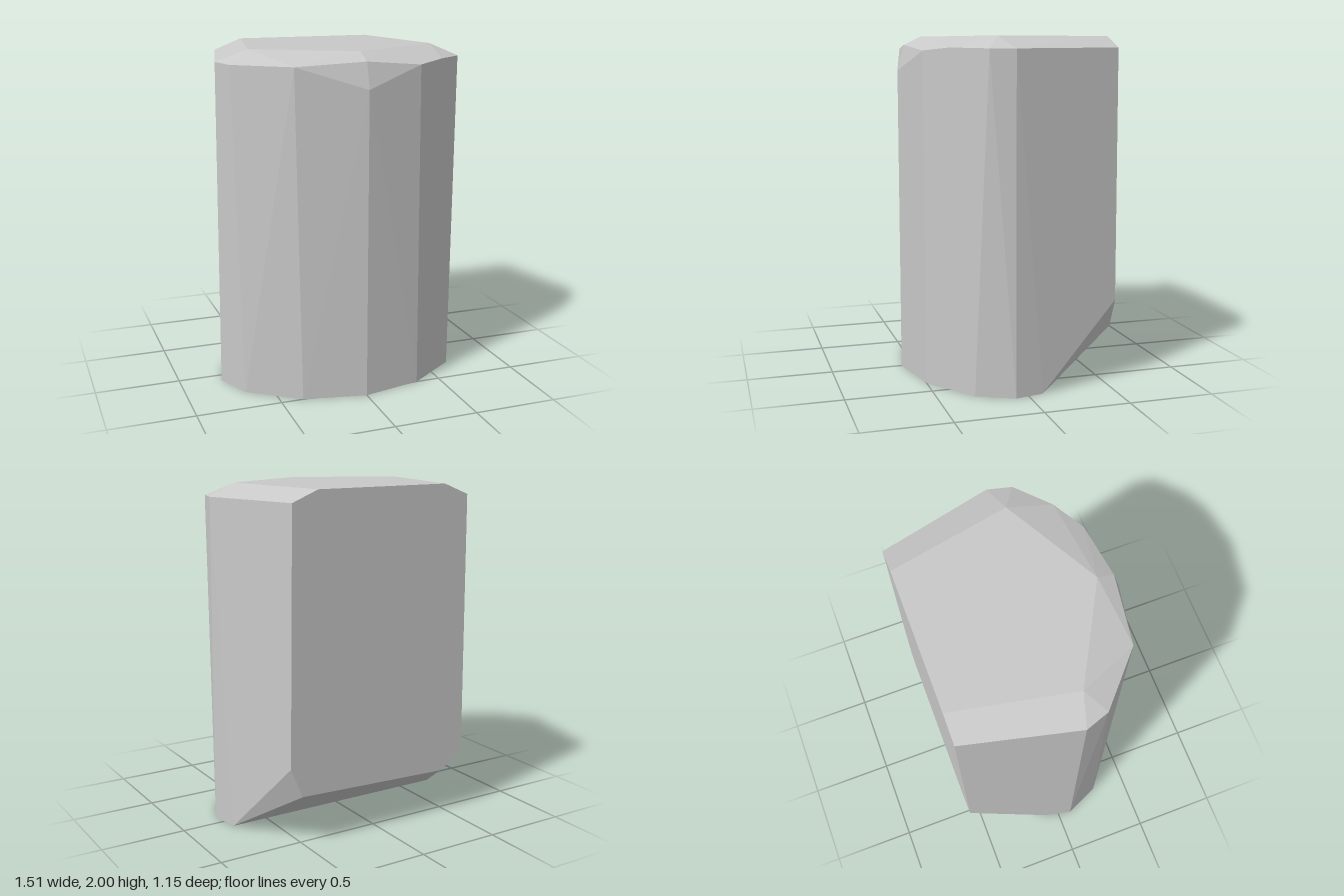
import * as THREE from 'three';
import { ConvexGeometry } from 'three/addons/geometries/ConvexGeometry.js';

export function createModel() {
  const model = new THREE.Group();
  model.name = 'facetedBlock';

  const stone = new THREE.MeshStandardMaterial({ color: 0xc8c8c8 });
  stone.name = 'light grey';

  // Flat base outline, from the back right round the front
  const base = [
    [-0.715, 0, -0.09], [-0.755, 0, 0.08], [-0.66, 0, 0.29], [-0.37, 0, 0.5],
    [0, 0, 0.575], [0.355, 0, 0.5], [0.655, 0, 0.29], [0.755, 0, 0.08], [0.72, 0, -0.09],
  ];

  // Shoulder where the walls meet the bevelled top
  const shoulder = [
    [-0.585, 1.935, -0.575], [-0.74, 1.93, 0.08], [-0.69, 1.925, 0.22], [-0.4, 1.928, 0.48],
    [0, 1.95, 0.535], [0, 1.8, 0.575], [0.34, 1.918, 0.5], [0.52, 1.935, 0.39],
    [0.705, 1.93, 0.22], [0.74, 1.93, 0.08], [0.58, 1.935, -0.575],
  ];

  // Flat top
  const top = [
    [-0.42, 2, -0.575], [-0.56, 2, 0.13], [0, 1.997, 0.435], [0.56, 2, 0.13], [0.42, 2, -0.575],
  ];

  // Lower edge of the back wall, above the slanted undercut
  const undercut = [
    [-0.597, 0.365, -0.575], [-0.44, 0.275, -0.575], [0.525, 0.305, -0.575], [0.6, 0.48, -0.575],
  ];

  const points = [...base, ...shoulder, ...top, ...undercut].map((p) => new THREE.Vector3(...p));
  const block = new THREE.Mesh(new ConvexGeometry(points), stone);
  block.name = 'block';
  model.add(block);
  return model;
}
